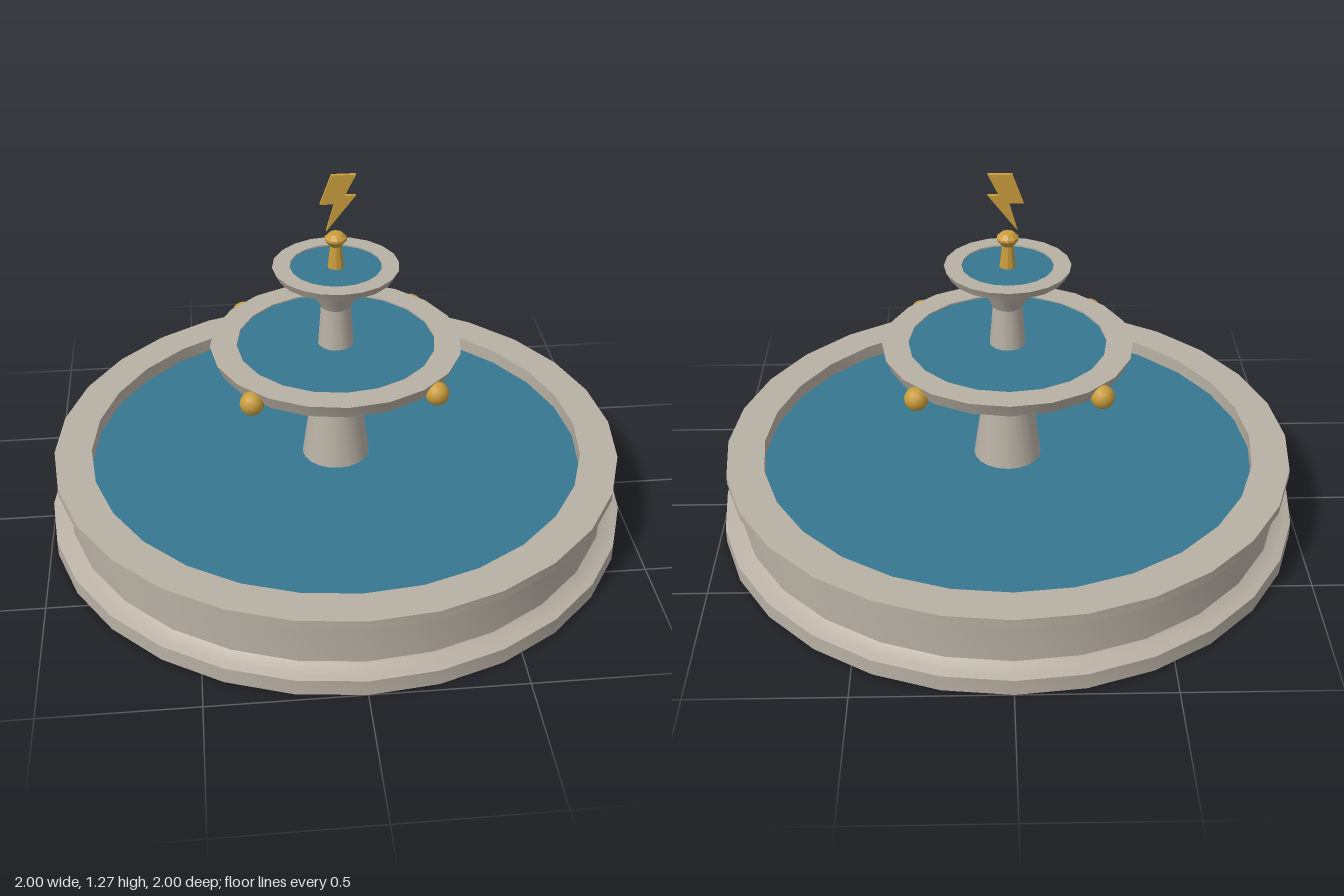
import * as THREE from 'three';
import { toCreasedNormals } from 'three/addons/utils/BufferGeometryUtils.js';

const material = (name, color) => {
  const m = new THREE.MeshStandardMaterial({ color });
  m.name = name;
  return m;
};

export function createModel() {
  const stone = material('stone', 0xb8b0a4);
  const water = material('water', 0x367890);
  const gold = material('gold', 0xc99c3c);
  const fountain = new THREE.Group();
  fountain.name = 'fountain';

  const add = (name, geometry, mat, x = 0, y = 0, z = 0) => {
    const mesh = new THREE.Mesh(geometry, mat);
    mesh.name = name;
    mesh.position.set(x, y, z);
    fountain.add(mesh);
    return mesh;
  };

  // Turned part: profile runs from the bottom centre outward and up
  const turned = (name, profile, sides, mat) => {
    const points = profile.map(([r, y]) => new THREE.Vector2(r, y));
    add(name, toCreasedNormals(new THREE.LatheGeometry(points, sides), 0.45), mat);
  };

  // Flat round water surface
  const pool = (name, radius, y, sides) => {
    const disc = new THREE.CircleGeometry(radius, sides);
    disc.rotateX(-Math.PI / 2);
    add(name, disc, water, 0, y, 0);
  };

  // Ground basin with plinth, wall and overhanging rim
  turned('basin', [
    [0, 0], [1, 0], [1, 0.055], [0.98, 0.062], [0.945, 0.075], [0.94, 0.08], [0.94, 0.215],
    [0.95, 0.22], [0.978, 0.24], [0.978, 0.27], [0.85, 0.27], [0.85, 0.2],
  ], 28, stone);
  pool('basinWater', 0.85, 0.22, 28);

  // Lower pedestal and middle bowl
  turned('middleTier', [
    [0.12, 0.2], [0.085, 0.45], [0.14, 0.535], [0.405, 0.615],
    [0.425, 0.663], [0.335, 0.663], [0.335, 0.65],
  ], 20, stone);
  pool('middleWater', 0.335, 0.658, 20);

  // Upper pedestal and top bowl
  turned('topTier', [
    [0.061, 0.65], [0.05, 0.8], [0.085, 0.867], [0.195, 0.92],
    [0.21, 0.949], [0.152, 0.949], [0.152, 0.935],
  ], 20, stone);
  pool('topWater', 0.152, 0.944, 20);

  // Gold ornaments around the middle bowl
  for (const x of [-0.3, 0.3]) {
    for (const z of [-0.3, 0.3]) {
      add('bowlOrnament', new THREE.SphereGeometry(0.04, 12, 8), gold, x, 0.62, z);
    }
  }

  // Finial post
  turned('finial', [
    [0.028, 0.94], [0.019, 1.02], [0.037, 1.042], [0.037, 1.05], [0.022, 1.065], [0, 1.069],
  ], 10, gold);

  // Lightning bolt
  const bolt = new THREE.Shape([
    [-0.015, 1.27], [-0.052, 1.17], [-0.005, 1.17], [-0.032, 1.075],
    [0.064, 1.198], [0.028, 1.198], [0.064, 1.27],
  ].map(([x, y]) => new THREE.Vector2(x, y)));
  add('lightningBolt', new THREE.ExtrudeGeometry(bolt, { depth: 0.014, bevelEnabled: false }),
    gold, 0, 0, -0.007);

  return fountain;
}
